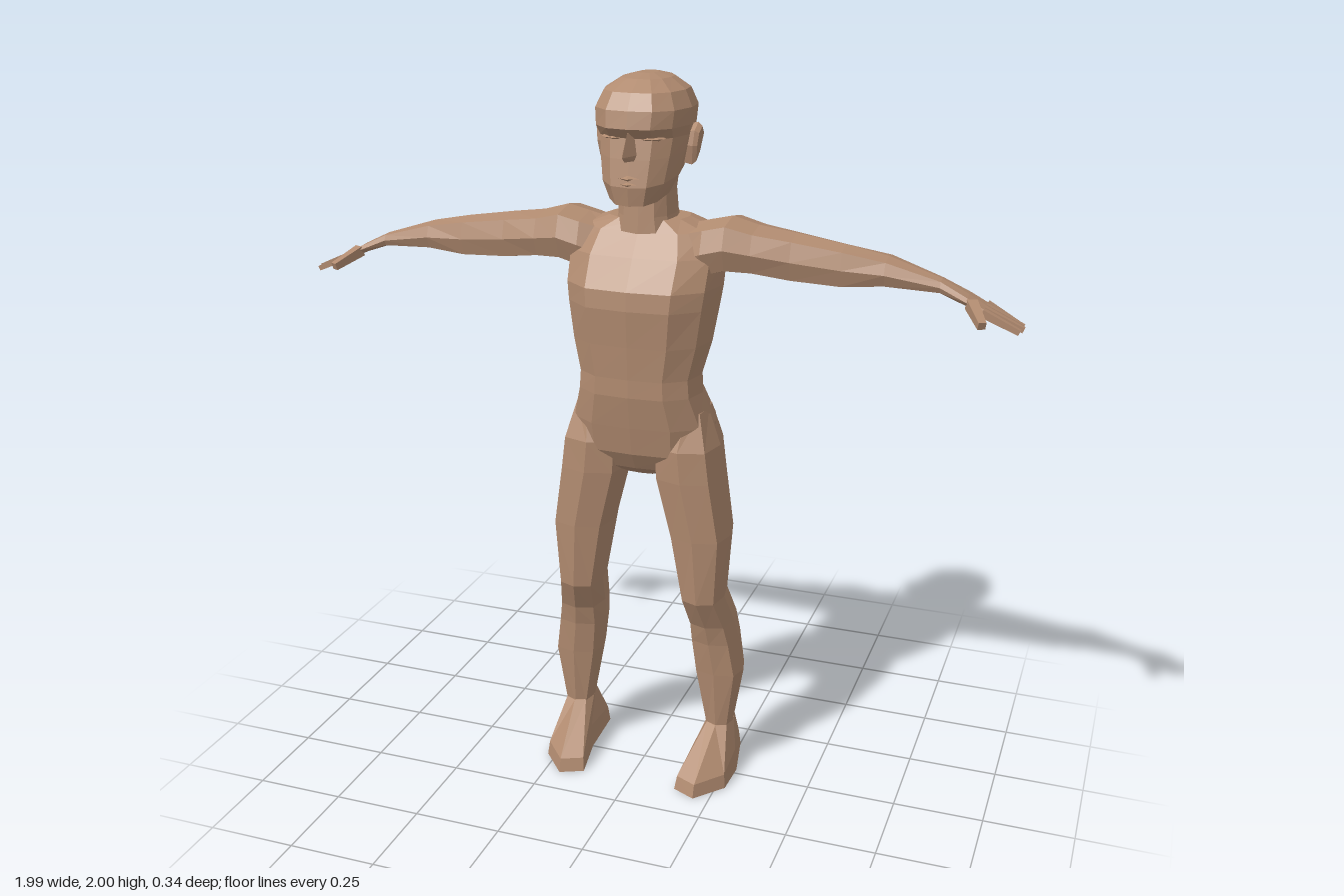
import * as THREE from 'three';

const V = (x, y, z) => new THREE.Vector3(x, y, z);

// Skin stretched over equal-length rings, capped at both ends; winding is set to face outward
function loft(rings) {
  const tris = [], n = rings[0].length;
  const centre = r => r.reduce((a, p) => a.add(p), V(0, 0, 0)).divideScalar(n);
  const first = rings[0], last = rings[rings.length - 1];
  const c0 = centre(first), c1 = centre(last);
  for (let i = 0; i < n; i++) {
    const j = (i + 1) % n;
    for (let k = 0; k < rings.length - 1; k++) {
      const a = rings[k], b = rings[k + 1];
      tris.push([a[i], a[j], b[j]], [a[i], b[j], b[i]]);
    }
    tris.push([c0, first[j], first[i]], [c1, last[i], last[j]]);
  }
  const volume = tris.reduce((s, [a, b, c]) => s + a.dot(b.clone().cross(c)), 0);
  const pts = tris.flatMap(([a, b, c]) => (volume < 0 ? [a, c, b] : [a, b, c]));
  const geo = new THREE.BufferGeometry().setFromPoints(pts);
  geo.computeVertexNormals();
  return geo;
}

// Symmetric horizontal ring from a half outline of [width fraction, depth fraction]
function bodyRing(half, [y, w, zf, zb, tilt = 0]) {
  const side = half.map(([fx, fz]) => {
    const z = zf + (zb - zf) * fz;
    return V(fx * w, y + tilt * z, z);
  });
  const other = side.slice(1, -1).reverse().map(p => V(-p.x, p.y, p.z));
  return [...side, ...other];
}

// Eight-sided rings: limbs running down (y) or outward (x)
const octagon = f => Array.from({ length: 8 }, (_, i) => {
  const a = i * Math.PI / 4, s = i % 2 ? 1.12 : 1;
  return f(Math.cos(a) * s, Math.sin(a) * s);
});
const legRing = ([y, xi, xo, zf, zb]) => octagon((c, s) =>
  V((xi + xo) / 2 + c * (xo - xi) / 2, y, (zf + zb) / 2 + s * (zf - zb) / 2));
const armRing = ([x, yt, yb, zf, zb]) => octagon((c, s) =>
  V(x, (yt + yb) / 2 + s * (yt - yb) / 2, (zf + zb) / 2 + c * (zf - zb) / 2));

// Four-sided bar between two points, used for the digits
function bar(a, b, ra, rb) {
  const dir = b.clone().sub(a).normalize();
  const u = V(0, 1, 0).cross(dir).normalize(), v = dir.clone().cross(u);
  const ring = (p, r) => [[1, 1], [-1, 1], [-1, -1], [1, -1]].map(([s, t]) =>
    p.clone().addScaledVector(u, s * r).addScaledVector(v, t * r));
  return [ring(a, ra), ring(b, rb)];
}

export function createModel() {
  const model = new THREE.Group();
  model.name = 'figure';
  const skin = new THREE.MeshStandardMaterial({ color: 0xb18b70, flatShading: true });
  skin.name = 'skin';

  const add = (name, rings) => {
    const mesh = new THREE.Mesh(loft(rings), skin);
    mesh.name = name;
    model.add(mesh);
  };
  const pair = (name, rings) => {
    add('left' + name, rings);
    add('right' + name, rings.map(r => r.map(p => V(-p.x, p.y, p.z))));
  };

  // Torso and pelvis
  const torsoHalf = [[0, 0], [0.56, 0.03], [0.9, 0.22], [1, 0.55], [0.88, 0.85], [0.45, 1], [0, 0.97]];
  add('torso', [
    [0.92, 0.06, 0.03, -0.07], [0.95, 0.15, 0.075, -0.125], [1.0, 0.195, 0.105, -0.135],
    [1.08, 0.2, 0.12, -0.13], [1.17, 0.172, 0.135, -0.085], [1.22, 0.168, 0.135, -0.085],
    [1.31, 0.19, 0.14, -0.125], [1.41, 0.205, 0.148, -0.16], [1.46, 0.212, 0.143, -0.168],
    [1.54, 0.215, 0.095, -0.16], [1.6, 0.19, 0.05, -0.14], [1.63, 0.11, 0.03, -0.12],
  ].map(r => bodyRing(torsoHalf, r)));

  // Neck
  add('neck', [
    [1.58, 0.09, 0.055, -0.125], [1.64, 0.075, 0.05, -0.11],
    [1.7, 0.072, 0.045, -0.1], [1.78, 0.08, 0.03, -0.11],
  ].map(r => bodyRing(torsoHalf, r)));

  // Head from jaw to crown
  const headHalf = [[0, 0], [0.48, 0.03], [0.83, 0.18], [1, 0.45], [0.94, 0.72], [0.58, 0.96], [0, 1]];
  add('head', [
    [1.712, 0.078, 0.122, -0.085, -0.26], [1.755, 0.1, 0.13, -0.11, -0.2],
    [1.81, 0.112, 0.118, -0.135, -0.1], [1.85, 0.118, 0.108, -0.152],
    [1.876, 0.123, 0.134, -0.16], [1.92, 0.128, 0.126, -0.158],
    [1.962, 0.108, 0.1, -0.142], [1.99, 0.065, 0.05, -0.11], [2.0, 0.025, 0.0, -0.07],
  ].map(r => bodyRing(headHalf, r)));

  // Nose, lips, eyes and ears
  add('nose', [
    [V(-0.01, 1.865, 0.1), V(0, 1.865, 0.13), V(0.01, 1.865, 0.1)],
    [V(-0.024, 1.81, 0.1), V(0, 1.81, 0.166), V(0.024, 1.81, 0.1)],
    [V(-0.02, 1.795, 0.1), V(0, 1.797, 0.15), V(0.02, 1.795, 0.1)],
  ]);
  [[1.752, 'upperLip'], [1.737, 'lowerLip']].forEach(([y, name]) => add(name,
    [[-0.036, 0.002, 0.118], [0, 0.008, 0.139], [0.036, 0.002, 0.118]].map(([x, h, z]) =>
      [V(x, y + h, z - 0.015), V(x, y, z), V(x, y - h, z - 0.015)])));
  pair('Eye', [[0.028, 0.002, 0.108], [0.045, 0.01, 0.112], [0.07, 0.009, 0.101], [0.085, 0.002, 0.085]]
    .map(([x, h, z]) => [V(x, 1.85 + h, z - 0.02), V(x, 1.85, z), V(x, 1.85 - h, z - 0.02)]));
  pair('Ear', [[0.1, 1], [0.126, 1.1], [0.137, 0.9]].map(([x, s]) =>
    [[-0.025, 1.775], [-0.015, 1.82], [-0.02, 1.855], [-0.045, 1.872], [-0.068, 1.85], [-0.05, 1.8]]
      .map(([z, y]) => V(x + (y - 1.82) * 0.1, 1.82 + (y - 1.82) * s, -0.04 + (z + 0.04) * s))));

  // Arms from shoulder to wrist, ending in the palm
  pair('Arm', [
    [0.1, 1.61, 1.45, 0.04, -0.13], [0.17, 1.628, 1.48, 0.06, -0.142], [0.23, 1.642, 1.497, 0.06, -0.142],
    [0.3, 1.622, 1.496, 0.045, -0.134], [0.4, 1.608, 1.482, 0.028, -0.122], [0.53, 1.588, 1.476, 0.015, -0.106],
    [0.64, 1.565, 1.488, 0.005, -0.115], [0.78, 1.522, 1.486, -0.008, -0.072],
    [0.85, 1.488, 1.462, 0.005, -0.08], [0.91, 1.454, 1.437, 0.012, -0.085],
  ].map(armRing));

  // Fingers and thumb
  [[0.005, 0.985], [-0.022, 0.992], [-0.049, 0.988], [-0.077, 0.97]].forEach(([z, x], i) =>
    pair('Finger' + (i + 1), bar(V(0.89, 1.455, z), V(x, 1.412, z), 0.01, 0.007)));
  pair('Thumb', bar(V(0.86, 1.47, -0.01), V(0.9, 1.438, 0.07), 0.014, 0.01));

  // Legs from hip to ankle
  pair('Leg', [
    [1.12, 0.1, 0.185, 0.07, -0.07], [1.02, 0.04, 0.22, 0.108, -0.105], [0.93, 0.045, 0.232, 0.108, -0.105],
    [0.76, 0.088, 0.256, 0.1, -0.095], [0.57, 0.125, 0.24, 0.09, -0.08],
    [0.48, 0.135, 0.258, 0.045, -0.12], [0.42, 0.135, 0.27, 0.03, -0.124],
    [0.32, 0.145, 0.286, 0.018, -0.118], [0.14, 0.182, 0.256, 0.0, -0.102],
  ].map(legRing));

  // Feet: sole outline, sloping instep and ankle
  const sole = [[0.172, -0.165], [0.25, -0.165], [0.28, -0.02], [0.276, 0.085], [0.205, 0.168], [0.14, 0.138], [0.165, 0]];
  const instep = [0.05, 0.05, 0.07, 0.04, 0.038, 0.038, 0.07];
  const ankle = [[0.195, -0.107], [0.243, -0.107], [0.257, -0.06], [0.25, -0.01], [0.22, 0.005], [0.19, -0.01], [0.182, -0.06]];
  pair('Foot', [
    sole.map(([x, z]) => V(x, 0, z)),
    sole.map(([x, z], i) => V(0.215 + (x - 0.215) * 0.93, instep[i], z * 0.93)),
    ankle.map(([x, z]) => V(x, 0.15, z)),
  ]);

  return model;
}
